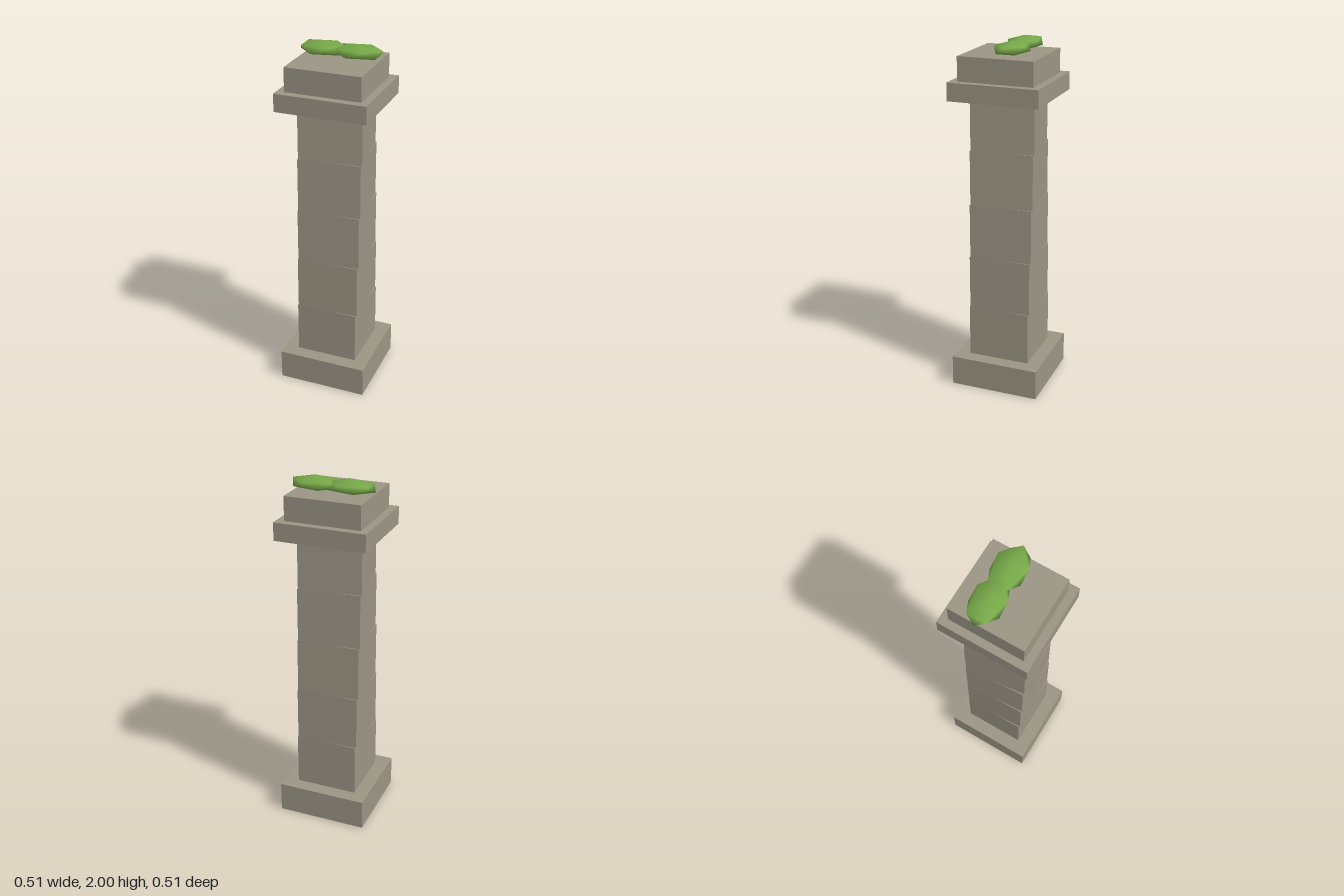
import * as THREE from 'three';

const stone = new THREE.MeshStandardMaterial({ color: 0x9c9585 });
const green = new THREE.MeshStandardMaterial({ color: 0x76a848 });

// Square stone slab between two heights
function slab(name, half, y0, y1, turn = 0) {
  const mesh = new THREE.Mesh(new THREE.BoxGeometry(half * 2, y1 - y0, half * 2), stone);
  mesh.name = name;
  mesh.position.y = (y0 + y1) / 2;
  mesh.rotation.y = turn;
  return mesh;
}

// Smooth-shaded icosahedron standing on a vertex: pole, two twisted rings of five, pole
function tuftGeometry() {
  const ringY = 1 / Math.sqrt(5), ringR = 2 / Math.sqrt(5);
  const pos = [0, 1, 0];
  for (let ring = 0; ring < 2; ring++) {
    for (let k = 0; k < 5; k++) {
      const a = ((k + ring / 2) * Math.PI * 2) / 5;
      pos.push(ringR * Math.cos(a), ring ? -ringY : ringY, ringR * Math.sin(a));
    }
  }
  pos.push(0, -1, 0);
  const index = [];
  for (let k = 0; k < 5; k++) {
    const u = 1 + k, un = 1 + ((k + 1) % 5), l = 6 + k, ln = 6 + ((k + 1) % 5);
    index.push(0, un, u, u, un, l, un, ln, l, l, ln, 11);
  }
  const geo = new THREE.BufferGeometry();
  geo.setAttribute('position', new THREE.Float32BufferAttribute(pos, 3));
  geo.setIndex(index);
  geo.scale(0.15, 0.0385, 0.1);
  geo.computeVertexNormals();
  return geo;
}

export function createModel() {
  const model = new THREE.Group();
  model.name = 'mossyPillar';

  model.add(slab('base', 0.256, 0, 0.173));

  // Shaft blocks, each turned a little further than the one below
  const joints = [0.165, 0.475, 0.785, 1.096, 1.408, 1.7];
  for (let i = 0; i < 5; i++) {
    model.add(slab('shaftBlock' + (i + 1), 0.177 - i * 0.0004, joints[i], joints[i + 1], i * 0.035));
  }

  model.add(slab('capital', 0.256, 1.687, 1.787));
  model.add(slab('topBlock', 0.213, 1.787, 1.921));

  // Pair of moss tufts on top
  const geo = tuftGeometry();
  for (const side of [-1, 1]) {
    const tuft = new THREE.Mesh(geo, green);
    tuft.name = side < 0 ? 'rightMoss' : 'leftMoss';
    tuft.position.set(side * 0.0975, 1.9615, -0.053);
    model.add(tuft);
  }
  return model;
}
